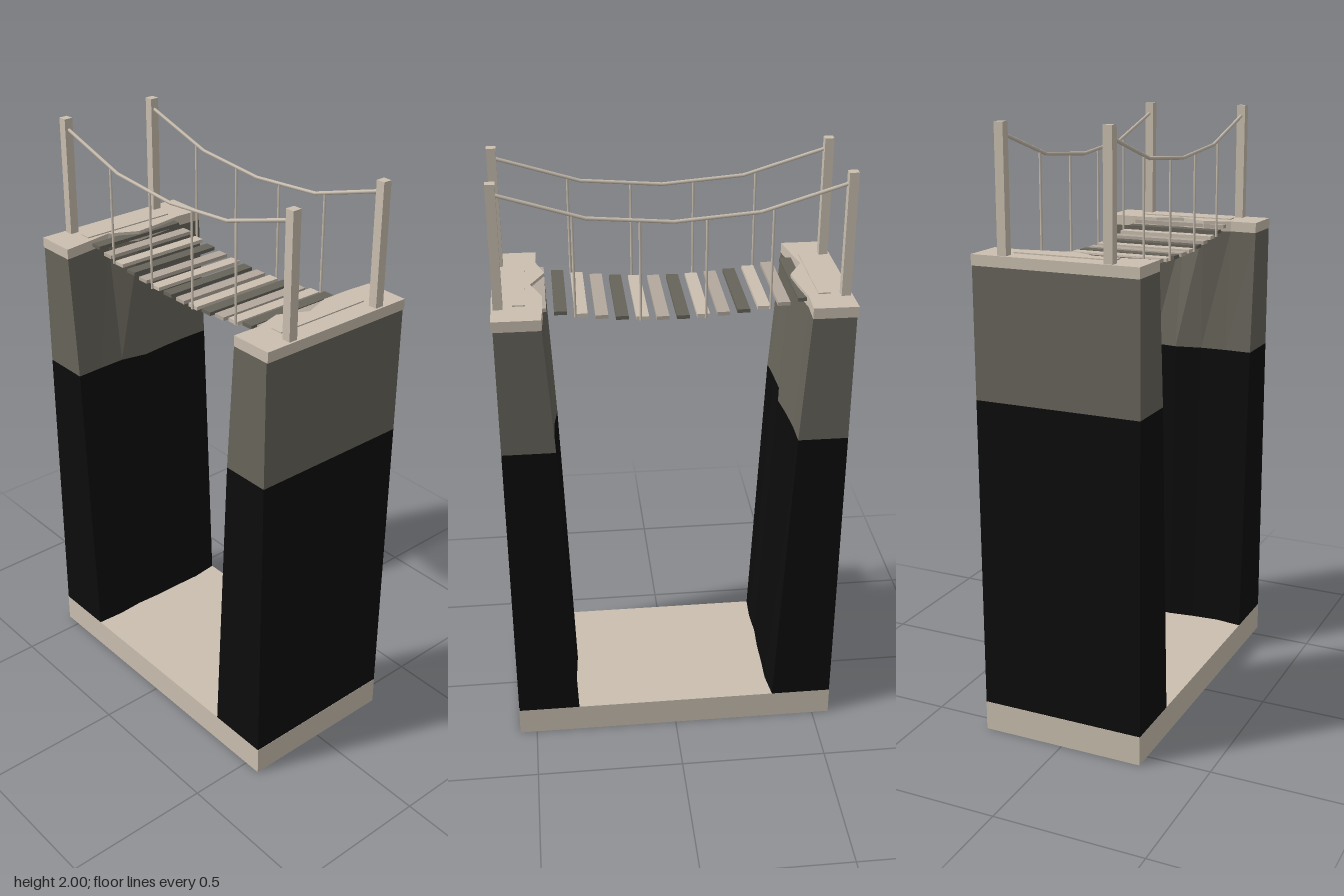
import * as THREE from 'three';

const material = (name, color) => {
  const m = new THREE.MeshStandardMaterial({ color });
  m.name = name;
  return m;
};

export function createModel() {
  const model = new THREE.Group();
  model.name = 'ropeBridge';
  const cream = material('cream stone', 0xcabfb0);
  const grey = material('grey rock', 0x67645a);
  const black = material('black rock', 0x0c0c0c);
  const taupe = material('taupe wood', 0xb3a89c);

  const add = (name, geometry, mat, x = 0, y = 0, z = 0) => {
    const mesh = new THREE.Mesh(geometry, mat);
    mesh.name = name;
    mesh.position.set(x, y, z);
    model.add(mesh);
    return mesh;
  };

  // Round bar between two points
  const bar = (name, a, b, radius) => {
    const dir = b.clone().sub(a);
    const mesh = add(name, new THREE.CylinderGeometry(radius, radius, dir.length(), 6), cream);
    mesh.position.copy(a).add(b).multiplyScalar(0.5);
    mesh.quaternion.setFromUnitVectors(new THREE.Vector3(0, 1, 0), dir.normalize());
  };

  // Rock layer: flat outside, jagged inside face following a low and a high profile across x
  const width = 0.562;
  const layer = (name, mat, side, y0, y1, low, high, outer) => {
    const box = new THREE.BoxGeometry(width, 1, 1, 6, 1, 1);
    const p = box.attributes.position;
    for (let i = 0; i < p.count; i++) {
      const column = Math.round((p.getX(i) / width + 0.5) * 6);
      const top = p.getY(i) > 0;
      const inside = p.getZ(i) * side < 0;
      p.setY(i, top ? y1 : y0);
      p.setZ(i, side * (inside ? (top ? high : low)[column] : outer));
    }
    const geometry = box.toNonIndexed();
    geometry.computeVertexNormals();
    add(name, geometry, mat);
  };

  // Base slab
  add('base', new THREE.BoxGeometry(width, 0.1, 1.118), cream, 0, 0.05, 0);

  // Two cliffs, each a dark lower wall, a grey upper wall and a pale cap
  const cliffs = [
    { name: 'front', side: 1,
      foot: [0.345, 0.357, 0.35, 0.338, 0.345, 0.352, 0.345],
      middle: [0.39, 0.393, 0.39, 0.372, 0.385, 0.388, 0.385],
      rim: [0.418, 0.42, 0.393, 0.44, 0.405, 0.405, 0.411] },
    { name: 'back', side: -1,
      foot: [0.345, 0.34, 0.345, 0.34, 0.34, 0.338, 0.349],
      middle: [0.39, 0.395, 0.398, 0.378, 0.388, 0.394, 0.394],
      rim: [0.42, 0.434, 0.45, 0.4, 0.41, 0.424, 0.42] },
  ];
  for (const { name, side, foot, middle, rim } of cliffs) {
    layer(name + 'LowerCliff', black, side, 0.1, 1.145, foot, middle, 0.558);
    layer(name + 'UpperCliff', grey, side, 1.145, 1.57, middle, rim, 0.558);
    layer(name + 'CliffCap', cream, side, 1.57, 1.605, rim, rim, 0.563);
  }

  // Sagging planks in three repeating colours
  const deckY = (z) => 1.546 + 0.25 * z * z;
  const plankMaterials = [cream, grey, taupe];
  for (let i = 0; i < 16; i++) {
    const z = (i - 7.5) * 0.0636;
    add('plank', new THREE.BoxGeometry(0.341, 0.012, 0.04), plankMaterials[i % 3], 0, deckY(z), z);
  }

  // Posts, hand ropes and hangers on both sides
  const ropePoints = [[-0.535, 1.965], [-0.265, 1.883], [0, 1.862], [0.265, 1.883], [0.535, 1.965]];
  const ropeY = (z) => {
    const a = Math.abs(z);
    return a < 0.265 ? 1.862 + (a / 0.265) * 0.021 : 1.883 + ((a - 0.265) / 0.27) * 0.082;
  };
  for (const x of [-0.177, 0.177]) {
    for (const z of [-0.541, 0.541]) {
      add('post', new THREE.BoxGeometry(0.03, 0.4, 0.03), cream, x, 1.8, z);
    }
    for (let i = 0; i < 4; i++) {
      const [a, b] = [ropePoints[i], ropePoints[i + 1]];
      bar('handRope', new THREE.Vector3(x, a[1], a[0]), new THREE.Vector3(x, b[1], b[0]), 0.006);
    }
    for (const z of [-0.305, -0.102, 0.102, 0.305]) {
      bar('hanger', new THREE.Vector3(x, deckY(z) - 0.004, z), new THREE.Vector3(x, ropeY(z), z), 0.004);
    }
  }
  return model;
}
